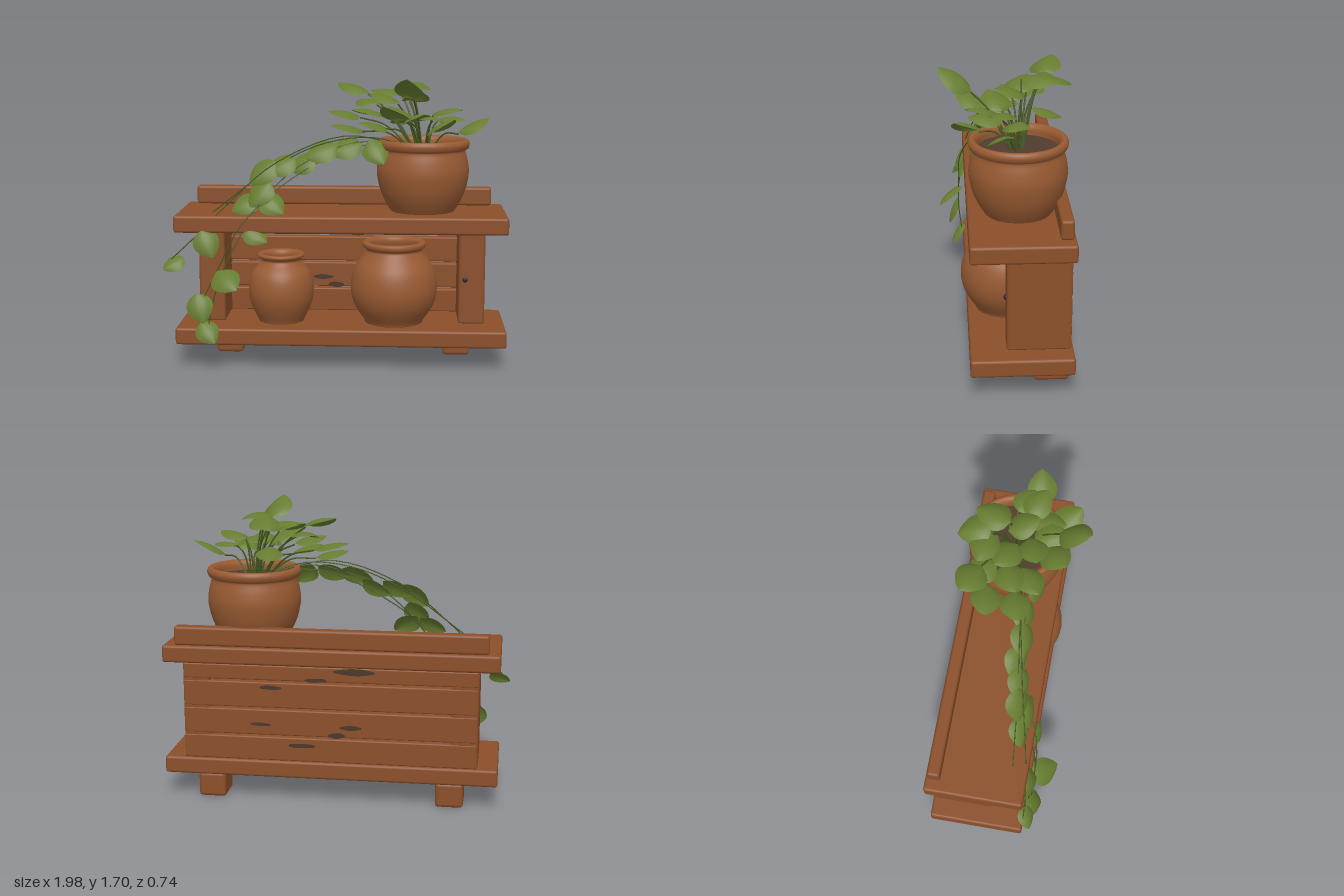
import * as THREE from 'three';
import { RoundedBoxGeometry } from 'three/addons/geometries/RoundedBoxGeometry.js';

const V = (x, y, z) => new THREE.Vector3(x, y, z);
function material(name, color) {
  const m = new THREE.MeshStandardMaterial({ color });
  m.name = name;
  return m;
}

export function createModel() {
  const root = new THREE.Group();
  root.name = 'potBench';
  const wood = material('wood', 0x8b4f2a);
  const clay = material('clay', 0x985a32);
  const soil = material('soil', 0x523c2e);
  const crackDark = material('crack', 0x4a372b);
  const metal = material('screw', 0x2c2a28);
  const leafGreen = material('leaf', 0x667c30);
  const stemGreen = material('stem', 0x44591f);
  leafGreen.side = THREE.DoubleSide;

  const add = (name, geometry, mat, parent = root) => {
    const mesh = new THREE.Mesh(geometry, mat);
    mesh.name = name;
    parent.add(mesh);
    return mesh;
  };
  // Softened board given by its limits on each axis
  const board = (name, x0, x1, y0, y1, z0, z1, r = 0.015) => {
    const g = new RoundedBoxGeometry(x1 - x0, y1 - y0, z1 - z0, 2, r);
    add(name, g, wood).position.set((x0 + x1) / 2, (y0 + y1) / 2, (z0 + z1) / 2);
  };

  // Bench: shelves, rail, sides and feet
  board('bottomShelf', -0.94, 0.99, 0.145, 0.245, -0.365, 0.2);
  board('topShelf', -0.94, 0.99, 0.81, 0.91, -0.365, 0.2);
  board('backRail', -0.875, 0.92, 0.91, 1.02, -0.35, -0.278);
  board('rightSide', -0.825, -0.67, 0.24, 0.79, -0.35, 0);
  board('leftSide', 0.717, 0.872, 0.24, 0.79, -0.35, 0);
  board('rightFoot', -0.748, -0.588, 0.005, 0.15, -0.35, -0.155, 0.02);
  board('leftFoot', 0.635, 0.795, 0.005, 0.15, -0.35, -0.155, 0.02);

  // Back slats with narrow gaps
  for (const [y0, y1] of [[0.245, 0.385], [0.397, 0.548], [0.56, 0.71], [0.722, 0.81]])
    board('backSlat', -0.82, 0.87, y0, y1, -0.352, -0.29, 0.008);

  // Weathered cracks, on both faces of the slats
  const cracks = [[-0.12, 0.787, 0.24, 0.035], [0.1, 0.732, 0.13, 0.025], [-0.1, 0.458, 0.13, 0.025],
    [-0.02, 0.41, 0.1, 0.03], [0.36, 0.68, 0.13, 0.025], [0.18, 0.34, 0.16, 0.028], [0.42, 0.46, 0.12, 0.02]];
  for (const [x, y, w, h] of cracks) {
    const s = new THREE.Shape();
    for (let i = 0; i < 14; i++) {
      const a = i / 14 * Math.PI * 2, k = 1 + 0.18 * Math.sin(i * 5.3 + x * 9);
      s[i ? 'lineTo' : 'moveTo'](Math.cos(a) * w / 2, Math.sin(a) * h / 2 * k);
    }
    const g = new THREE.ExtrudeGeometry(s, { depth: 0.004, bevelEnabled: false });
    for (const z of [-0.291, -0.355]) add('crack', g, crackDark).position.set(x, y, z);
  }

  // Screw heads
  for (const x of [-0.705, 0.755])
    for (const [y, z] of [[0.51, 0.002], [0.11, -0.152]]) {
      const screw = add('screw', new THREE.SphereGeometry(0.016, 12, 8), metal);
      screw.position.set(x, y, z);
      screw.scale.z = 0.6;
    }

  // Hollow turned pots: profile runs up the outside and down the inside
  const pot = (name, x, z, profile) => {
    const curve = new THREE.SplineCurve(profile.map(([r, y]) => new THREE.Vector2(r, y)));
    const pts = curve.getPoints(56).map(p => p.setX(Math.max(0, p.x)));
    add(name, new THREE.LatheGeometry(pts, 48), clay).position.set(x, 0, z);
  };
  pot('smallJar', -0.335, -0.02, [[0, 0.25], [0.12, 0.25], [0.14, 0.268], [0.182, 0.36], [0.194, 0.45],
    [0.175, 0.54], [0.122, 0.605], [0.118, 0.625], [0.138, 0.64], [0.138, 0.655], [0.12, 0.66],
    [0.1, 0.64], [0.105, 0.6], [0.16, 0.53], [0.175, 0.44], [0.12, 0.28], [0, 0.275]]);
  pot('largeJar', 0.335, -0.02, [[0, 0.25], [0.155, 0.25], [0.178, 0.27], [0.235, 0.36], [0.256, 0.46],
    [0.235, 0.575], [0.175, 0.665], [0.165, 0.69], [0.184, 0.705], [0.186, 0.73], [0.165, 0.738],
    [0.142, 0.72], [0.15, 0.67], [0.21, 0.57], [0.235, 0.46], [0.16, 0.28], [0, 0.275]]);
  pot('planter', 0.5, -0.08, [[0, 0.912], [0.165, 0.912], [0.195, 0.925], [0.245, 1.02], [0.27, 1.13],
    [0.263, 1.21], [0.248, 1.27], [0.264, 1.283], [0.273, 1.31], [0.262, 1.333], [0.242, 1.333],
    [0.225, 1.31], [0.222, 1.27], [0.22, 1.24]]);
  const soilDisc = add('soil', new THREE.CircleGeometry(0.226, 40), soil);
  soilDisc.rotation.x = -Math.PI / 2;
  soilDisc.position.set(0.5, 1.275, -0.08);

  // Unit leaf: pointed oval along +z, edges and tip curling down
  const leafGeometry = new THREE.PlaneGeometry(1, 1, 6, 10);
  const pos = leafGeometry.attributes.position;
  for (let i = 0; i < pos.count; i++) {
    const u = pos.getX(i) * 2, t = 0.5 - pos.getY(i);
    const half = 0.43 * Math.pow(Math.max(0, Math.sin(Math.PI * Math.pow(t, 0.78))), 0.72);
    pos.setXYZ(i, u * half, 0.1 - 0.34 * (t - 0.45) ** 2 - 0.16 * u * u * half / 0.43, t - 0.5);
  }
  leafGeometry.computeVertexNormals();

  const plant = new THREE.Group();
  plant.name = 'trailingPlant';
  root.add(plant);
  const leaf = (center, dir, facing, size) => {
    const d = dir.clone().normalize();
    const side = facing.clone().cross(d).normalize();
    const m = add('leaf', leafGeometry, leafGreen, plant);
    m.quaternion.setFromRotationMatrix(new THREE.Matrix4().makeBasis(side, d.clone().cross(side), d));
    m.position.copy(center);
    m.scale.setScalar(size);
    return center.clone().addScaledVector(d, -size / 2);
  };
  const stem = (name, points, r) =>
    add(name, new THREE.TubeGeometry(new THREE.CatmullRomCurve3(points), 20, r, 5), stemGreen, plant);

  // Bushy crown: centre, rise of the leaf, size
  const crown = [
    [0.08, 1.62, -0.26, 0.3, 0.21], [0.03, 1.47, -0.17, 0.2, 0.2], [0.17, 1.54, -0.22, 0.1, 0.19],
    [0.28, 1.6, -0.22, 0.1, 0.19], [0.37, 1.61, -0.29, -0.3, 0.2], [0.46, 1.64, -0.2, 0, 0.21],
    [0.17, 1.49, -0.06, 0.2, 0.2], [0.27, 1.57, -0.1, 0.3, 0.2], [0.05, 1.4, -0.01, 0.2, 0.2],
    [0.2, 1.42, 0.05, 0.2, 0.2], [0.35, 1.5, 0.04, 0.4, 0.2], [0.46, 1.58, -0.03, 0.3, 0.19],
    [0.33, 1.5, 0.17, 0.5, 0.21], [0.42, 1.64, 0.26, 0.7, 0.22], [0.46, 1.47, 0.12, 0.3, 0.2],
    [0.55, 1.46, 0.1, 0.1, 0.19], [0.6, 1.43, 0.2, 0.5, 0.21], [0.64, 1.5, 0.02, 0.2, 0.19],
    [0.67, 1.45, -0.05, 0, 0.17], [0.79, 1.42, 0.02, 0.5, 0.2], [0.38, 1.43, -0.24, -0.3, 0.18]];
  crown.forEach(([x, y, z, rise, size], i) => {
    const c = V(x, y, z);
    const out = V(x - 0.46, 0, z + 0.08).normalize();
    out.applyAxisAngle(V(0, 1, 0), 0.5 * Math.sin(i * 2.4)).setY(rise);
    const base = leaf(c, out, V(0.15 * Math.sin(i * 3), 1, 0.1), size);
    const foot = V(0.5 + (x - 0.5) * 0.15, 1.27, -0.08 + (z + 0.08) * 0.15);
    const mid = foot.clone().lerp(base, 0.5).add(V(0, 0.05, 0));
    stem('stem', [foot, mid, base], 0.005);
  });

  // Vines hanging over the front edge
  const vines = [
    [[0.45, 1.28, -0.06], [0.2, 1.35, 0], [-0.1, 1.31, 0.04], [-0.4, 1.16, 0.08], [-0.72, 0.92, 0.11]],
    [[0.46, 1.28, -0.03], [0.15, 1.33, 0.03], [-0.2, 1.2, 0.08], [-0.42, 1.0, 0.13], [-0.6, 0.7, 0.22],
      [-0.7, 0.45, 0.23], [-0.74, 0.27, 0.21]],
    [[0.44, 1.28, -0.05], [0.05, 1.36, 0.02], [-0.35, 1.21, 0.1], [-0.6, 1, 0.16], [-0.8, 0.8, 0.2], [-0.95, 0.66, 0.21]],
    [[0.47, 1.28, -0.04], [0.12, 1.3, 0.02], [-0.3, 1.09, 0.12], [-0.55, 0.85, 0.22], [-0.68, 0.6, 0.23], [-0.77, 0.42, 0.23]]];
  for (const v of vines) stem('vine', v.map(p => V(...p)), 0.0035);

  // Vine leaves: centre, direction, size
  const vineLeaves = [
    [0.23, 1.27, 0.08, 0.5, -0.7, 0.5, 0.18], [0.05, 1.29, 0.04, -1, -0.25, 0.1, 0.2],
    [-0.09, 1.27, 0.06, -1, -0.4, 0.2, 0.2], [-0.2, 1.2, 0.04, -1, -0.4, -0.1, 0.19],
    [-0.32, 1.19, 0.08, -1, -0.5, 0.2, 0.19], [-0.43, 1.15, 0.09, -0.8, -0.7, 0.2, 0.2],
    [-0.44, 1.03, 0.14, -0.6, -0.8, 0.3, 0.19], [-0.37, 0.97, 0.13, 0.7, -0.5, 0.3, 0.18],
    [-0.53, 0.97, 0.12, -0.9, -0.5, 0.2, 0.18], [-0.46, 0.8, 0.2, 0.9, -0.5, 0.3, 0.16],
    [-0.74, 0.75, 0.22, 0.4, -0.8, 0.3, 0.18], [-0.935, 0.635, 0.23, -0.8, -0.4, 0.3, 0.14],
    [-0.62, 0.55, 0.29, 0.8, -0.5, 0.8, 0.2], [-0.78, 0.38, 0.26, 0.3, -1, 0.4, 0.18],
    [-0.74, 0.23, 0.24, 0.5, -0.6, 0.4, 0.16]];
  for (const [x, y, z, dx, dy, dz, s] of vineLeaves)
    leaf(V(x, y, z), V(dx, dy, dz), V(-0.1, 0.75, 0.7), s);

  return root;
}
